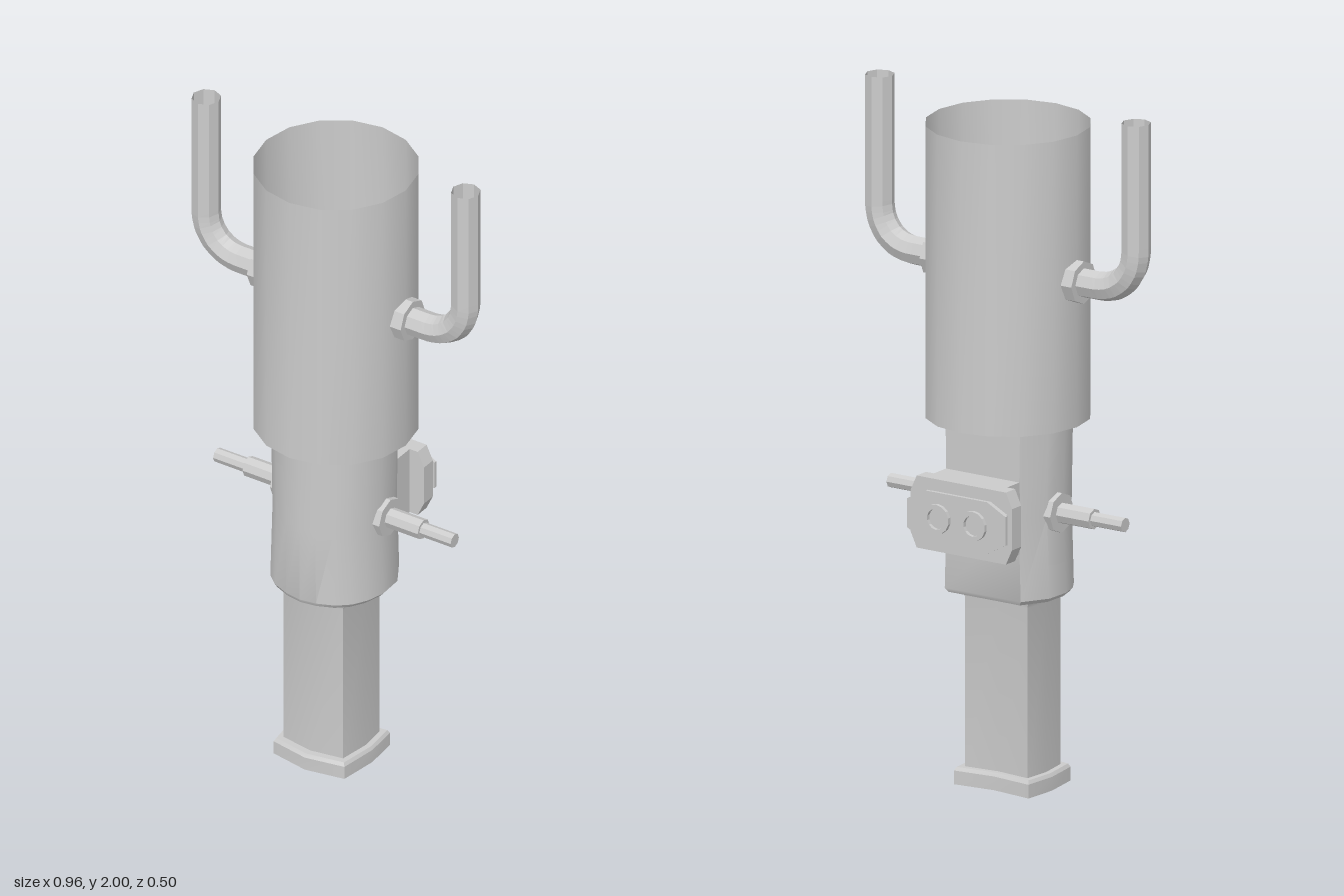
import * as THREE from 'three';
import { toCreasedNormals } from 'three/addons/utils/BufferGeometryUtils.js';

const smooth = new THREE.MeshStandardMaterial({ color: 0xcccccc, side: THREE.DoubleSide });
const faceted = new THREE.MeshStandardMaterial({ color: 0xcccccc, side: THREE.DoubleSide, flatShading: true });

// Mirrors a half outline (front centre to back centre, as [x, z]) into a closed loop
function mirrorOutline(half) {
  const other = half.filter(p => p[0] > 0).reverse().map(([x, z]) => [-x, z]);
  return [...half, ...other];
}

// Wall through rings [y, xScale, zScale] of one outline, scaled about (0, cz)
function loft(outline, rings, cz) {
  const n = outline.length, pos = [], idx = [];
  for (const [y, sx, sz] of rings)
    for (const [x, z] of outline) pos.push(x * sx, y, cz + (z - cz) * sz);
  for (let r = 0; r < rings.length - 1; r++)
    for (let i = 0; i < n; i++) {
      const a = r * n + i, b = r * n + (i + 1) % n;
      idx.push(a, b, b + n, a, b + n, a + n);
    }
  const g = new THREE.BufferGeometry();
  g.setAttribute('position', new THREE.Float32BufferAttribute(pos, 3));
  g.setIndex(idx);
  return toCreasedNormals(g, 0.5);
}

const scaled = (outline, s, cz) => outline.map(([x, z]) => [x * s, cz + (z - cz) * s]);
const toPoints = outline => outline.map(([x, z]) => new THREE.Vector2(x, z));

// Flat horizontal ring between two outlines
function ledge(outer, inner, y) {
  const shape = new THREE.Shape(toPoints(outer));
  shape.holes.push(new THREE.Path(toPoints(inner)));
  return new THREE.ShapeGeometry(shape).rotateX(Math.PI / 2).translate(0, y, 0);
}

function add(parent, name, geometry, material = smooth) {
  const mesh = new THREE.Mesh(geometry, material);
  mesh.name = name;
  parent.add(mesh);
  return mesh;
}

// Eight-cornered plate, thin along z, with narrower ends
function plate(w, endW, h, endH, y, zFront, depth) {
  const s = new THREE.Shape(toPoints([
    [-endW, -h], [endW, -h], [w, -endH], [w, endH],
    [endW, h], [-endW, h], [-w, endH], [-w, -endH]]));
  return new THREE.ExtrudeGeometry(s, { depth, bevelEnabled: false }).translate(0, y, zFront - depth);
}

// Rod along x between x0 and x1
function rod(r, x0, x1, y, z, sides, open = false) {
  return new THREE.CylinderGeometry(r, r, x1 - x0, sides, 1, open)
    .rotateZ(-Math.PI / 2).translate((x0 + x1) / 2, y, z);
}

export function createModel() {
  const model = new THREE.Group();
  model.name = 'telescopicHousing';
  const BZ = 0.012, TZ = 0.045;

  // Outlines of the three hollow stages
  const circle = Array.from({ length: 16 }, (_, i) => {
    const a = i * Math.PI / 8;
    return [0.235 * Math.sin(a), BZ + 0.235 * Math.cos(a)];
  });
  const body = mirrorOutline([[0, 0.197], [0.05, 0.189], [0.1, 0.168], [0.135, 0.137],
    [0.16, 0.095], [0.175, 0.04], [0.172, -0.035], [0.127, -0.112]]);
  const tube = mirrorOutline([[0, 0.143], [0.1, 0.126], [0.114, 0.035], [0.107, -0.046], [0, -0.035]]);

  // Upper barrel, open at the top
  add(model, 'upperBarrel', loft(circle, [[1.08, 1, 1], [1.93, 1, 1]], BZ));
  add(model, 'barrelLedge', ledge(circle, body, 1.08));

  // Middle body with a slight waist and a chamfered foot
  add(model, 'middleBody', loft(body, [[0.57, 0.96, 0.96], [0.582, 1.02, 1],
    [0.82, 0.965, 1], [1.08, 1, 1]], TZ));
  add(model, 'bodyLedge', ledge(scaled(body, 0.96, TZ), scaled(tube, 1.1, TZ), 0.57));

  // Lower tube, flared where it meets the body
  add(model, 'lowerTube', loft(tube, [[0, 1, 1], [0.545, 1, 1], [0.56, 1.03, 1.03], [0.57, 1.1, 1.1]], TZ));

  // Collar round the foot of the tube
  add(model, 'footCollar', loft(tube, [[0, 1.06, 1.06], [0, 1.19, 1.27], [0.04, 1.19, 1.27],
    [0.05, 1.14, 1.2], [0.05, 1, 1]], TZ));

  // Block on the back, with a stem, flanged plate, face plate and two ringed sockets
  const back = new THREE.Group();
  back.name = 'rearBlock';
  model.add(back);
  add(back, 'blockStem', new THREE.BoxGeometry(0.25, 0.21, 0.075).translate(0, 0.825, -0.1375), faceted);
  add(back, 'blockFlange', plate(0.173, 0.152, 0.105, 0.06, 0.825, -0.172, 0.045), faceted);
  add(back, 'facePlateBase', plate(0.158, 0.1, 0.07, 0.04, 0.825, -0.215, 0.018), faceted);
  add(back, 'facePlate', plate(0.168, 0.105, 0.075, 0.042, 0.825, -0.233, 0.009), faceted);
  for (const side of [-1, 1]) {
    const ring = new THREE.LatheGeometry(toPoints([[0.03, 0], [0.03, 0.012], [0.043, 0.012], [0.043, 0]]), 14)
      .rotateX(-Math.PI / 2).translate(side * 0.062, 0.825, -0.241);
    add(back, 'socketRing', ring, faceted);
  }

  // Side pins and upturned arms, built on the left and turned round for the right
  const bend = new THREE.CurvePath();
  const v = (x, y) => new THREE.Vector3(x, y, BZ);
  bend.add(new THREE.LineCurve3(v(0.16, 1.505), v(0.32, 1.505)));
  const arc = Array.from({ length: 7 }, (_, i) => {
    const a = i * Math.PI / 12;
    return v(0.32 + 0.117 * Math.sin(a), 1.622 - 0.117 * Math.cos(a));
  });
  for (let i = 0; i < 6; i++) bend.add(new THREE.LineCurve3(arc[i], arc[i + 1]));
  bend.add(new THREE.LineCurve3(v(0.437, 1.622), v(0.437, 2)));

  for (const side of [1, -1]) {
    const g = new THREE.Group();
    g.name = side > 0 ? 'leftFittings' : 'rightFittings';
    // Half turn about the barrel axis
    if (side < 0) {
      g.rotation.y = Math.PI;
      g.position.z = 2 * BZ;
    }
    add(g, 'armTube', new THREE.TubeGeometry(bend, 40, 0.042, 8, false), faceted);
    add(g, 'armCollar', rod(0.062, 0.22, 0.259, 1.505, BZ, 8), faceted);
    add(g, 'pinFlange', rod(0.058, 0.15, 0.184, 0.822, BZ, 8), faceted);
    add(g, 'pinBase', rod(0.03, 0.18, 0.295, 0.822, BZ, 8), faceted);
    add(g, 'pinTip', rod(0.021, 0.29, 0.4, 0.822, BZ, 8), faceted);
    model.add(g);
  }
  return model;
}
